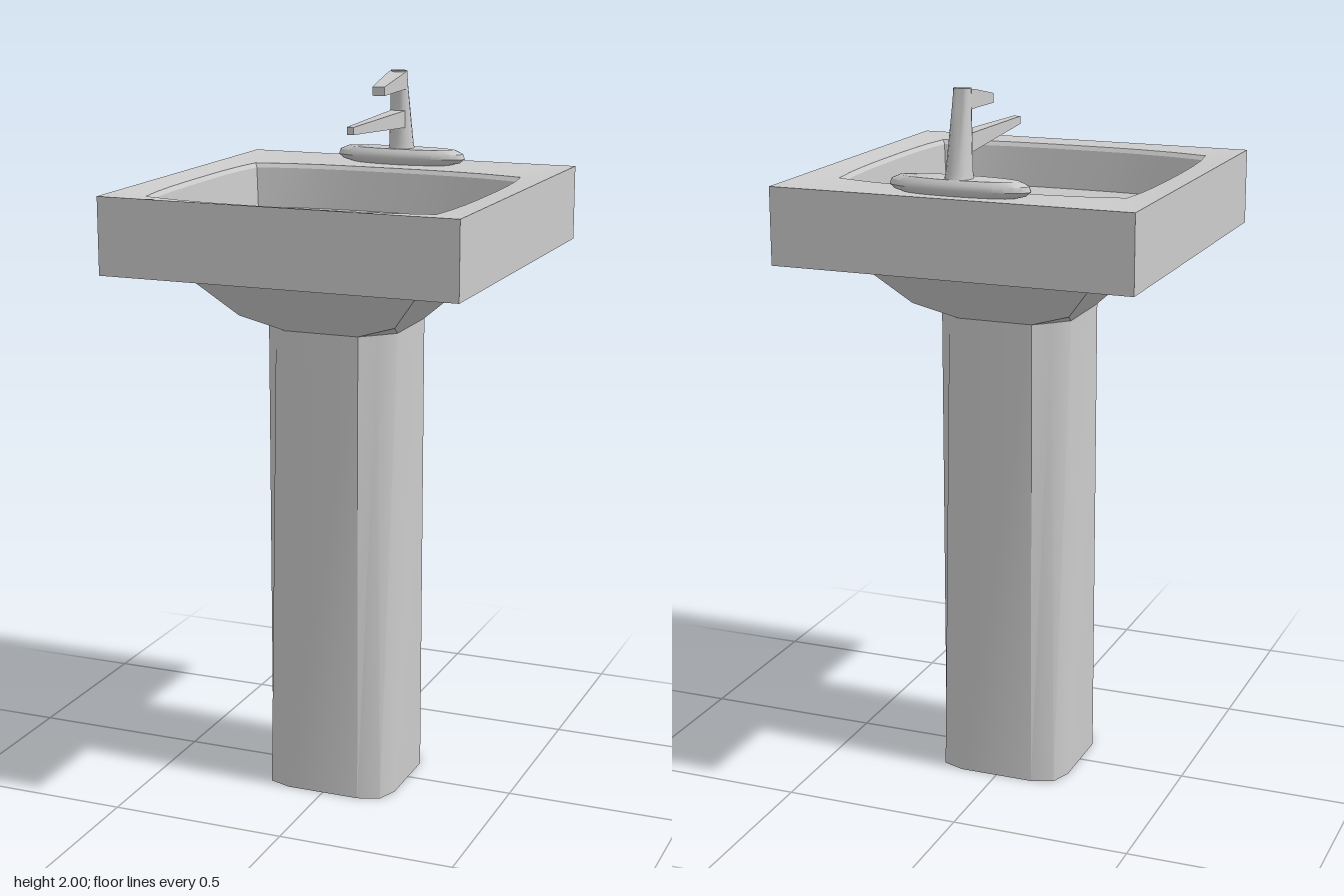
import * as THREE from 'three';
import { toCreasedNormals } from 'three/addons/utils/BufferGeometryUtils.js';

const material = new THREE.MeshStandardMaterial({ color: 0xcccccc });

// Skin a list of equal-length rings (counter-clockwise seen from the far end), with optional caps.
function loft(name, rings, { start = false, end = false, crease = 0.6 } = {}) {
  const pos = [];
  const tri = (...pts) => pts.forEach((p) => pos.push(...p));
  const n = rings[0].length;
  const centre = (ring) => [0, 1, 2].map((k) => ring.reduce((s, p) => s + p[k], 0) / n);
  for (let j = 0; j < n; j++) {
    const k = (j + 1) % n;
    for (let i = 0; i < rings.length - 1; i++) {
      const a = rings[i], b = rings[i + 1];
      tri(a[j], a[k], b[k]);
      tri(a[j], b[k], b[j]);
    }
    const last = rings[rings.length - 1];
    if (start) tri(centre(rings[0]), rings[0][k], rings[0][j]);
    if (end) tri(centre(last), last[j], last[k]);
  }
  const geometry = new THREE.BufferGeometry();
  geometry.setAttribute('position', new THREE.Float32BufferAttribute(pos, 3));
  const mesh = new THREE.Mesh(toCreasedNormals(geometry, crease), material);
  mesh.name = name;
  return mesh;
}

// Repeat one corner's points (x, z) around the four quarter turns.
const fourCorners = (corner, y) => [0, 1, 2, 3].flatMap((q) => corner.map(([x, z]) => {
  const turned = [[x, z], [z, -x], [-x, -z], [-z, x]][q];
  return [turned[0], y, turned[1] + 0.003];
}));

// Horizontal four-sided ring whose sides bulge outwards.
function sidedRing(y, hx, zMin, zMax, bulgeX = 0, bulgeZ = 0) {
  const corners = [[hx, zMax], [hx, zMin], [-hx, zMin], [-hx, zMax]];
  const steps = 8, ring = [];
  corners.forEach(([x0, z0], s) => {
    const [x1, z1] = corners[(s + 1) % 4];
    for (let i = 0; i < steps; i++) {
      const t = i / steps;
      const b = 1 - Math.abs(2 * t - 1) ** 3;
      const out = [[bulgeX, 0], [0, -bulgeZ], [-bulgeX, 0], [0, bulgeZ]][s];
      ring.push([x0 + (x1 - x0) * t + out[0] * b, y, z0 + (z1 - z0) * t + out[1] * b]);
    }
  });
  return ring;
}

const ellipseRing = (y, rx, rz, z, n = 32) => Array.from({ length: n }, (_, i) => {
  const a = (i / n) * Math.PI * 2;
  return [Math.cos(a) * rx, y, z - Math.sin(a) * rz];
});

// Upright rectangle across the z axis, for the handle and spout.
const rectRing = (z, w, y0, y1) => [[-w, y0, z], [w, y0, z], [w, y1, z], [-w, y1, z]];

export function createModel() {
  const model = new THREE.Group();
  model.name = 'pedestalSink';

  // Column: chamfered at the top, rounder and fuller corners at the foot
  const column = (mid, y) => fourCorners([[0.107, 0.19], [mid, mid], [0.19, 0.107]], y);
  model.add(loft('pedestal', [column(0.168, 0), column(0.15, 1.345)], { start: true, end: true }));

  // Flared underside: a square funnel with its lower corners cut to meet the column
  model.add(loft('basinUnderside', [
    fourCorners([[0.107, 0.19], [0.19, 0.107]], 1.345),
    fourCorners([[0.226, 0.226], [0.226, 0.226]], 1.385),
    fourCorners([[0.35, 0.35], [0.35, 0.35]], 1.526),
  ], { crease: 0.2 }));

  // Slab, dished top, raised lip and hollow bowl in one skin
  model.add(loft('basin', [
    sidedRing(1.525, 0.33, -0.33, 0.33),
    sidedRing(1.525, 0.5, -0.51, 0.51),
    sidedRing(1.735, 0.5, -0.51, 0.51),
    sidedRing(1.727, 0.405, -0.288, 0.415, 0.02, 0.04),
    sidedRing(1.715, 0.398, -0.281, 0.408, 0.02, 0.04),
    sidedRing(1.6, 0.392, -0.275, 0.402, 0.02, 0.04),
    sidedRing(1.51, 0.22, -0.14, 0.27, 0.01, 0.01),
  ], { end: true, crease: 0.45 }));

  // Tap
  const tap = new THREE.Group();
  tap.name = 'tap';
  const plateZ = -0.422;
  tap.add(loft('tapPlate', [
    ellipseRing(1.728, 0.14, 0.036, plateZ),
    ellipseRing(1.738, 0.18, 0.046, plateZ),
    ellipseRing(1.75, 0.195, 0.053, plateZ),
    ellipseRing(1.764, 0.19, 0.051, plateZ),
    ellipseRing(1.775, 0.165, 0.041, plateZ),
  ], { start: true, end: true, crease: 0.7 }));
  tap.add(loft('tapStem', [
    ellipseRing(1.77, 0.038, 0.04, -0.425, 16),
    ellipseRing(1.79, 0.035, 0.036, -0.423, 16),
    ellipseRing(1.95, 0.026, 0.021, -0.404, 16),
    ellipseRing(2.0, 0.024, 0.017, -0.398, 16),
  ], { start: true, end: true, crease: 0.7 }));
  tap.add(loft('tapHandle', [
    rectRing(-0.4, 0.025, 1.947, 1.999),
    rectRing(-0.36, 0.025, 1.947, 1.992),
    rectRing(-0.233, 0.018, 1.942, 1.967),
  ], { start: true, end: true, crease: 0.3 }));
  tap.add(loft('tapSpout', [
    rectRing(-0.405, 0.022, 1.836, 1.886),
    rectRing(-0.02, 0.01, 1.857, 1.878),
  ], { start: true, end: true, crease: 0.3 }));
  model.add(tap);

  return model;
}
